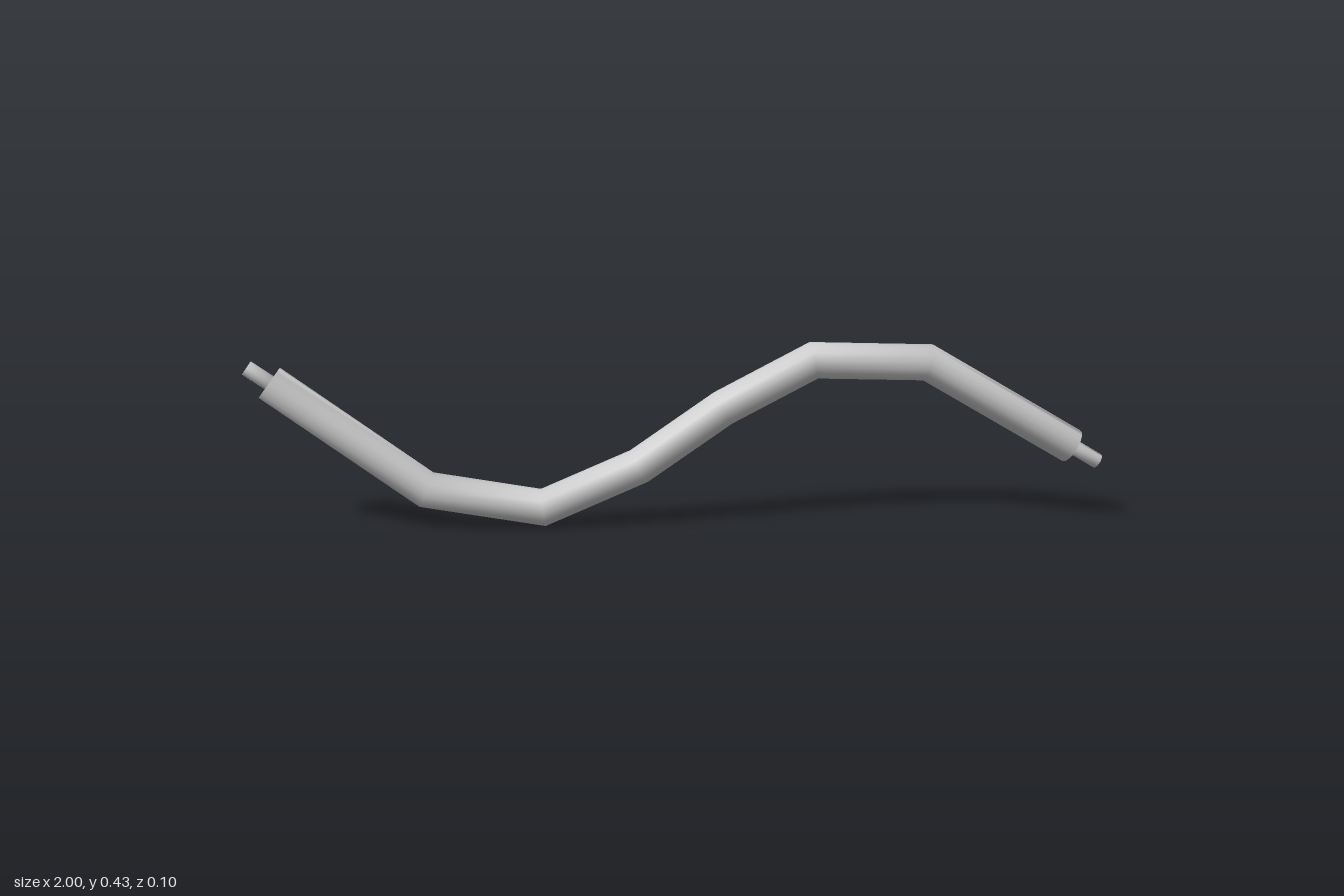
import * as THREE from 'three';

const SIDES = 16;
const material = new THREE.MeshStandardMaterial({ color: 0xcccccc });

// Closed tube along a bent path in the xy plane, mitred at each bend.
// ry is the radius within the plane of the bends, rz the radius across it.
function mitredTube(name, path, ry, rz) {
  const pts = path.map(p => new THREE.Vector3(...p));
  const pos = [], index = [];
  const heading = (a, b) => b.clone().sub(a).setZ(0).normalize();
  pts.forEach((p, i) => {
    const before = i > 0 ? heading(pts[i - 1], p) : heading(p, pts[1]);
    const after = i < pts.length - 1 ? heading(p, pts[i + 1]) : before;
    const mid = before.clone().add(after).normalize();
    const r = ry / mid.dot(after);
    for (let k = 0; k < SIDES; k++) {
      const a = ((k + 0.5) / SIDES) * Math.PI * 2;
      const u = Math.cos(a) * r;
      pos.push(p.x - mid.y * u, p.y + mid.x * u, p.z + Math.sin(a) * rz);
    }
  });
  // Walls
  for (let i = 0; i < pts.length - 1; i++) {
    for (let k = 0; k < SIDES; k++) {
      const a = i * SIDES + k, b = i * SIDES + (k + 1) % SIDES;
      index.push(a, b, a + SIDES, b, b + SIDES, a + SIDES);
    }
  }
  // End caps share the rim vertices so the shading rolls over the edge
  const last = (pts.length - 1) * SIDES;
  for (let k = 1; k < SIDES - 1; k++) {
    index.push(0, k + 1, k, last, last + k, last + k + 1);
  }
  const geometry = new THREE.BufferGeometry();
  geometry.setAttribute('position', new THREE.Float32BufferAttribute(pos, 3));
  geometry.setIndex(index);
  geometry.computeVertexNormals();
  const mesh = new THREE.Mesh(geometry, material);
  mesh.name = name;
  return mesh;
}

export function createModel() {
  const group = new THREE.Group();
  group.name = 'bentPipe';

  // Main S-shaped pipe
  const path = [
    [-0.94, 0.35, 0.001], [-0.59, 0.093, 0.002], [-0.32, 0.046, 0.002],
    [-0.096, 0.142, 0.001], [0.10, 0.278, 0], [0.31, 0.388, -0.001],
    [0.577, 0.38, -0.002], [0.924, 0.176, -0.003],
  ];
  group.add(mitredTube('pipe', path, 0.042, 0.046));

  // Thin stubs at both ends
  group.add(mitredTube('rightStub', [[-0.93, 0.343, 0.001], [-0.99, 0.385, 0.001]], 0.018, 0.02));
  group.add(mitredTube('leftStub', [[0.914, 0.182, -0.003], [0.988, 0.138, -0.003]], 0.018, 0.02));
  return group;
}
